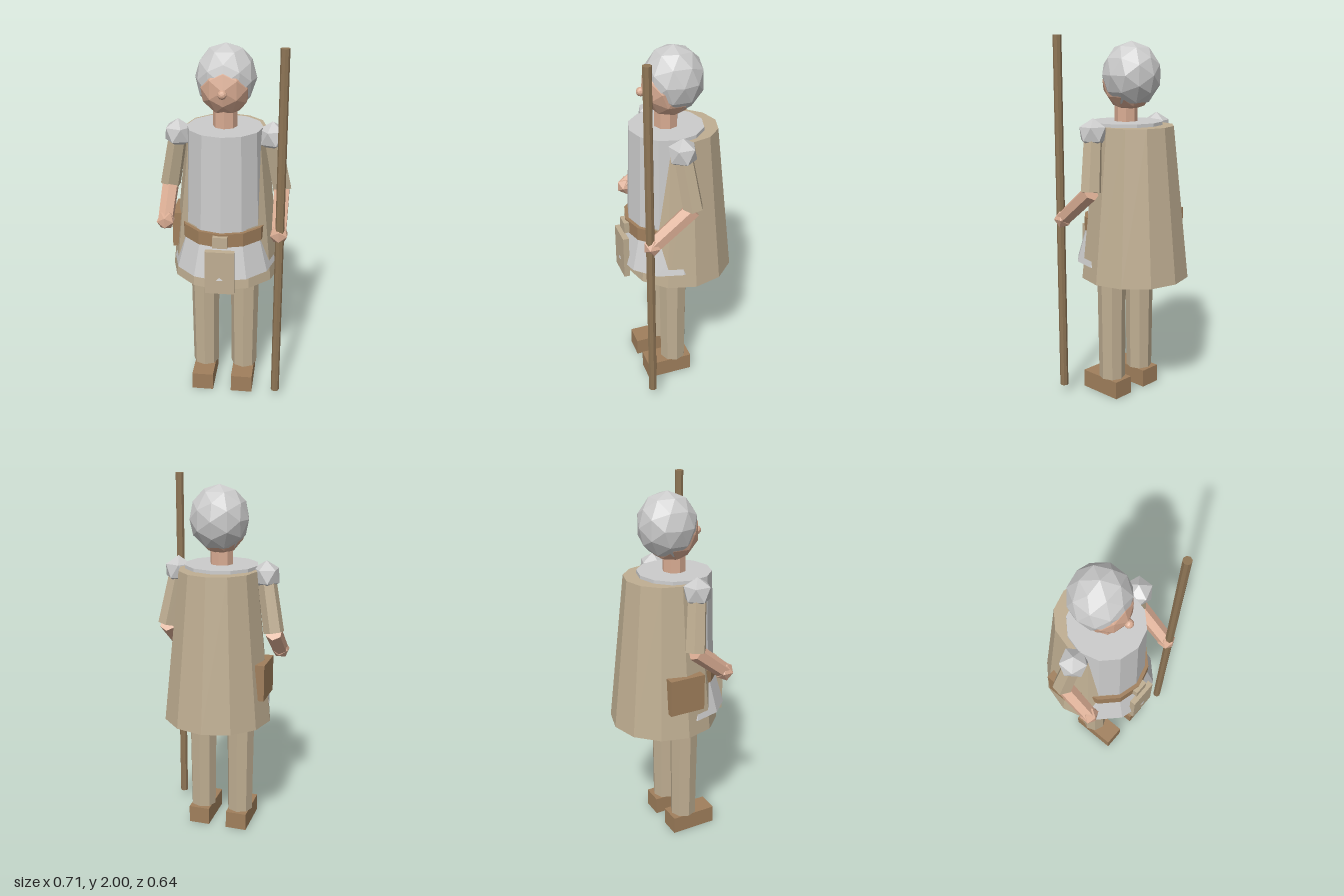
import * as THREE from 'three';

const mat = (color) => new THREE.MeshStandardMaterial({ color, flatShading: true });
const STEEL = mat(0xc4c4c4);
const CLOTH = mat(0xbfae92);
const LEATHER = mat(0xa07f5c);
const SKIN = mat(0xd8ab92);
const WOOD = mat(0x8f7656);

export function createModel() {
  const model = new THREE.Group();
  model.name = 'guard';

  const add = (name, geometry, material, x, y, z) => {
    const mesh = new THREE.Mesh(geometry, material);
    mesh.name = name;
    mesh.position.set(x, y, z);
    model.add(mesh);
    return mesh;
  };
  const box = (name, m, w, h, d, x, y, z) => add(name, new THREE.BoxGeometry(w, h, d), m, x, y, z);
  // Upright tapered prism between heights y0 and y1
  const prism = (name, m, rTop, rBottom, sides, y0, y1, x, z) =>
    add(name, new THREE.CylinderGeometry(rTop, rBottom, y1 - y0, sides), m, x, (y0 + y1) / 2, z);
  // Tapered prism from point a to point b
  const limb = (name, m, ra, rb, sides, a, b) => {
    const dir = b.clone().sub(a);
    const mid = a.clone().add(b).multiplyScalar(0.5);
    const mesh = add(name, new THREE.CylinderGeometry(rb, ra, dir.length(), sides), m, mid.x, mid.y, mid.z);
    mesh.quaternion.setFromUnitVectors(new THREE.Vector3(0, 1, 0), dir.normalize());
    return mesh;
  };
  const ball = (name, m, r, detail, x, y, z) => add(name, new THREE.IcosahedronGeometry(r, detail), m, x, y, z);

  // Head, helmet, nose and neck
  ball('head', SKIN, 1, 1, 0, 1.76, 0.025).scale.set(0.138, 0.157, 0.15);
  ball('helmet', STEEL, 1, 1, 0, 1.795, 0.003).scale.set(0.16, 0.175, 0.16);
  ball('nose', SKIN, 0.024, 1, 0, 1.747, 0.178);
  prism('neck', SKIN, 0.063, 0.063, 8, 1.53, 1.66, 0, 0.045);

  // Armoured body, belt and skirt, with the closed cloak behind
  prism('torso', STEEL, 0.2, 0.22, 12, 0.95, 1.548, 0, 0.045);
  prism('belt', LEATHER, 0.237, 0.237, 12, 0.955, 1.03, 0, 0.045);
  prism('skirt', STEEL, 0.23, 0.28, 12, 0.78, 0.955, 0, 0.045);
  prism('cloak', CLOTH, 0.213, 0.3, 12, 0.7, 1.53, 0, -0.02);
  box('buckle', CLOTH, 0.078, 0.062, 0.04, 0, 0.99, 0.28);
  box('frontFlap', CLOTH, 0.156, 0.245, 0.032, 0, 0.823, 0.304);
  box('hipBag', LEATHER, 0.052, 0.2, 0.2, -0.262, 0.95, -0.025);

  // Legs and arms, one of each per side
  for (const s of [1, -1]) {
    const side = s > 0 ? 'left' : 'right';
    prism(side + 'Leg', CLOTH, 0.08, 0.073, 8, 0.1, 0.75, s * 0.112, 0.05);
    box(side + 'Shoe', LEATHER, 0.12, 0.1, 0.26, s * 0.112, 0.05, 0.09);

    const shoulder = new THREE.Vector3(s * 0.247, 1.5, 0.045);
    const elbow = new THREE.Vector3(s * 0.303, 1.2, 0.008);
    const hand = s > 0 ? new THREE.Vector3(0.303, 1.025, 0.228) : new THREE.Vector3(-0.303, 1.055, 0.185);
    limb(side + 'UpperArm', CLOTH, 0.05, 0.056, 6, shoulder, elbow);
    limb(side + 'Forearm', SKIN, 0.047, 0.043, 6, elbow, hand);
    ball(side + 'Hand', SKIN, 0.052, 0, hand.x, hand.y, hand.z);
    // One corner of the shoulder guard points upward
    ball(side + 'ShoulderGuard', STEEL, 0.08, 0, shoulder.x, shoulder.y, shoulder.z).rotation.z = s * 0.5536;
  }

  // Staff held in the left hand
  prism('staff', WOOD, 0.023, 0.023, 8, 0.05, 2, 0.308, 0.243);
  return model;
}
